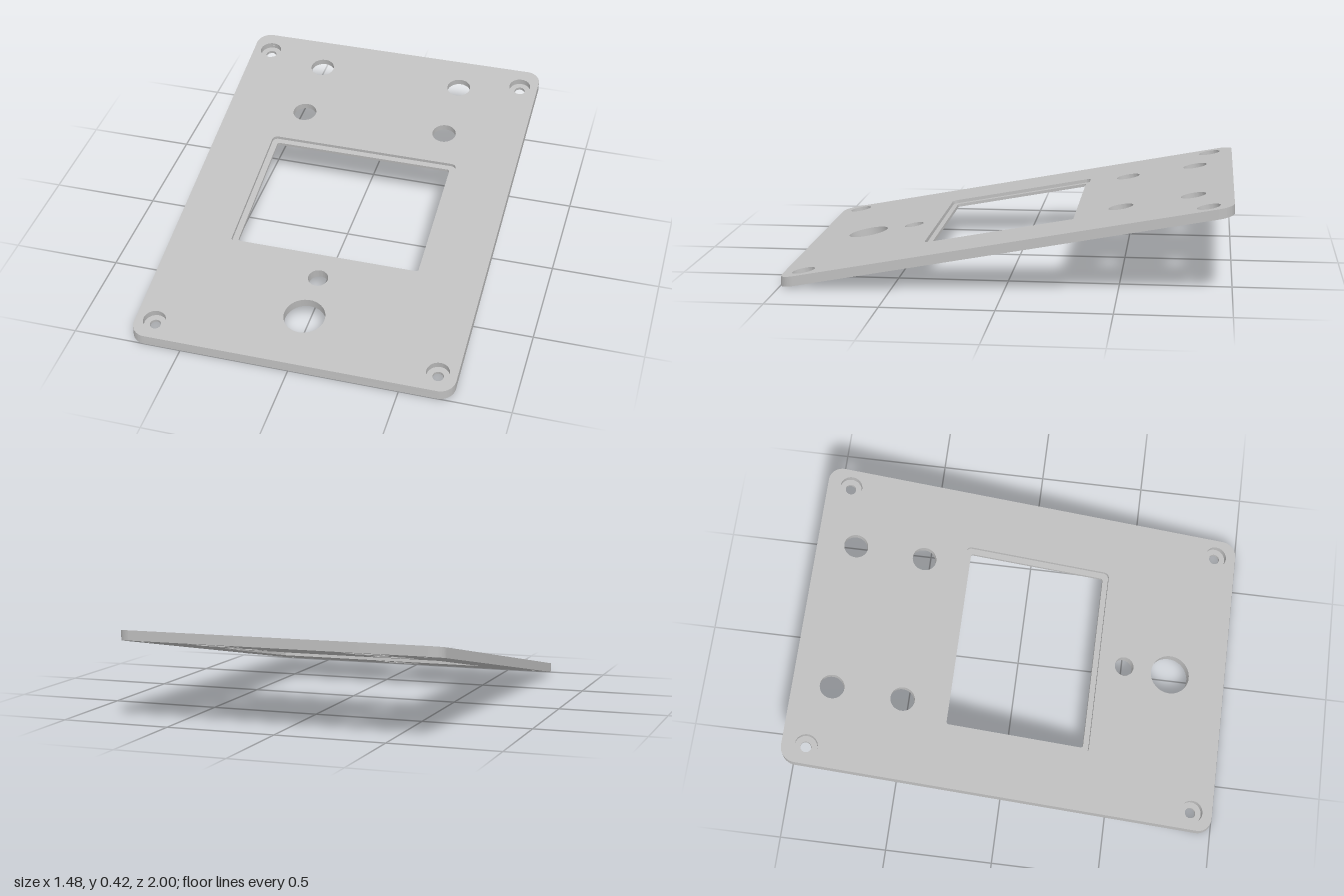
import * as THREE from 'three';
import { mergeGeometries, toCreasedNormals } from 'three/addons/utils/BufferGeometryUtils.js';

const TILT = Math.atan(0.1855);
const COS = Math.cos(TILT);
const HALF_W = 0.74, HALF_L = 1 / COS, CORNER = 0.07;
const DEPTHS = [0, 0.016, 0.03, 0.0442]; // layer boundaries below the top face

// rounded rectangle centred on (cx, cy)
function roundRect(PathType, cx, cy, hw, hh, r) {
  const p = new PathType();
  p.absarc(cx + hw - r, cy + hh - r, r, 0, Math.PI / 2);
  p.absarc(cx - hw + r, cy + hh - r, r, Math.PI / 2, Math.PI);
  p.absarc(cx - hw + r, cy - hh + r, r, Math.PI, Math.PI * 1.5);
  p.absarc(cx + hw - r, cy - hh + r, r, Math.PI * 1.5, Math.PI * 2);
  p.closePath();
  return p;
}

// circle at a plan position; the sheet's own y runs towards the back
function circle(x, z, r) {
  const p = new THREE.Path();
  p.absarc(x, -z / COS, r, 0, Math.PI * 2, true);
  return p;
}

// one layer of the sheet, with its own set of openings
function layer(index) {
  const shape = roundRect(THREE.Shape, 0, 0, HALF_W, HALF_L, CORNER);
  const windowY = -0.0425 / COS;
  const holes = shape.holes;

  // display window: bezel recess on top, lip in the middle, module pocket below
  const [hw, hh, r] = [[0.46, 0.353, 0.025], [0.432, 0.327, 0.012], [0.515, 0.382, 0.004]][index];
  holes.push(roundRect(THREE.Path, 0, windowY, hw, hh, r));

  // knob hole and indicator hole
  holes.push(circle(0, 0.735, 0.094), circle(0, 0.512, 0.046));

  for (const side of [-1, 1]) {
    // button holes, with square pockets underneath
    for (const z of [-0.82, -0.495]) {
      holes.push(index === 2
        ? roundRect(THREE.Path, side * 0.355, -z / COS, 0.095, 0.095, 0.004)
        : circle(side * 0.355, z, 0.057));
    }
    // counterbored corner screw holes
    for (const z of [-0.889, 0.903]) {
      holes.push(circle(side * 0.652, z, index === 2 ? 0.025 : 0.052));
    }
  }

  const geo = new THREE.ExtrudeGeometry(shape, {
    depth: DEPTHS[index + 1] - DEPTHS[index], bevelEnabled: false, curveSegments: 24,
  });
  geo.translate(0, 0, -DEPTHS[index + 1]);

  // lean the outer rim so that it stands upright once the sheet is tilted
  const pos = geo.attributes.position;
  for (let i = 0; i < pos.count; i++) {
    const dx = Math.max(Math.abs(pos.getX(i)) - HALF_W + CORNER, 0);
    const dy = Math.max(Math.abs(pos.getY(i)) - HALF_L + CORNER, 0);
    if (Math.hypot(dx, dy) > CORNER * 0.9) {
      pos.setY(i, pos.getY(i) + pos.getZ(i) * Math.tan(TILT));
    }
  }
  return geo;
}

export function createModel() {
  const greyPlastic = new THREE.MeshStandardMaterial({ color: 0xbfbfbf });
  greyPlastic.name = 'greyPlastic';

  const geometry = toCreasedNormals(mergeGeometries([0, 1, 2].map(layer)), 0.5);
  const panel = new THREE.Mesh(geometry, greyPlastic);
  panel.name = 'frontPanel';
  panel.rotation.x = -Math.PI / 2 + TILT;
  panel.position.y = 0.231;

  const model = new THREE.Group();
  model.name = 'controlPanel';
  model.add(panel);
  return model;
}
